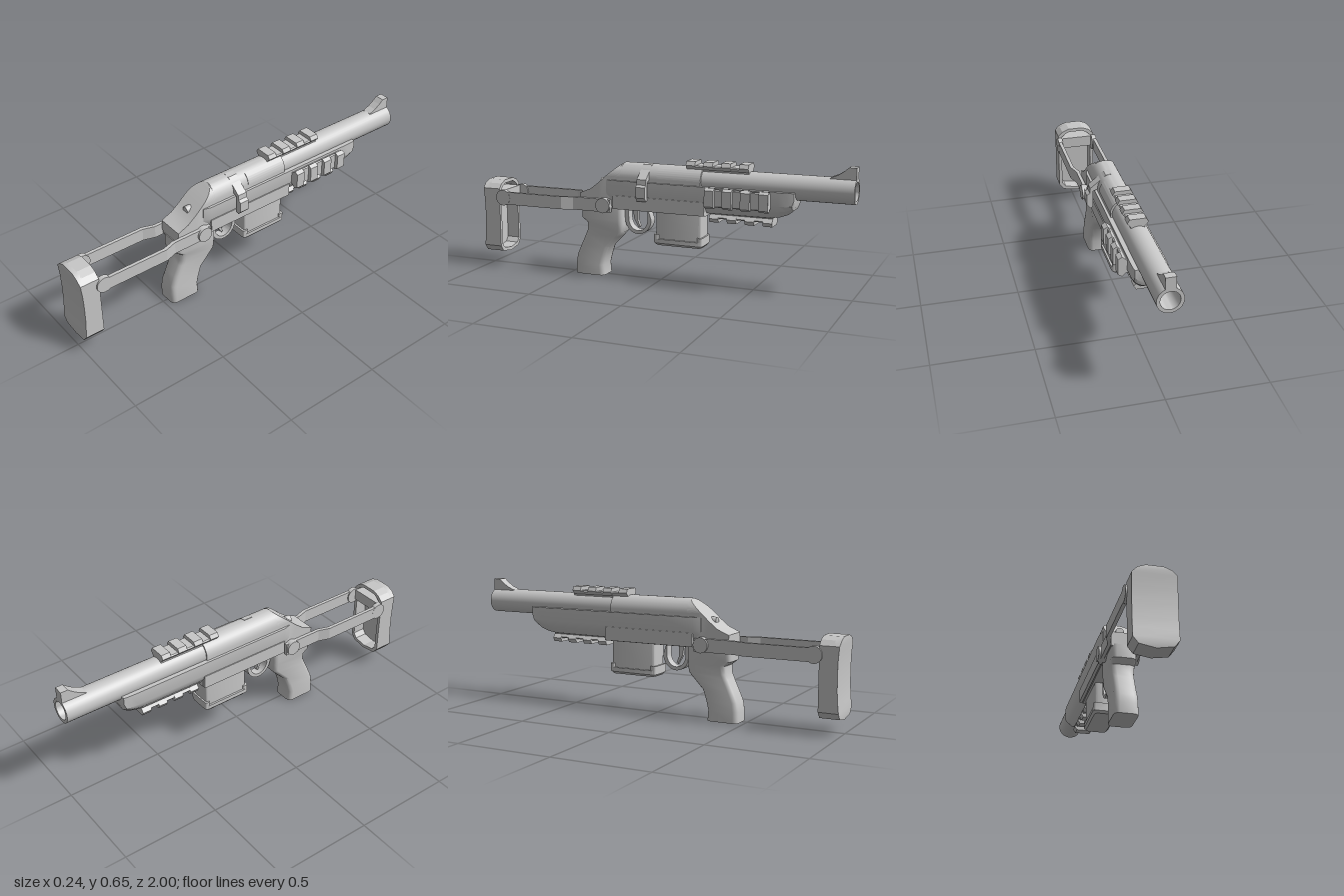
import * as THREE from 'three';
import { toCreasedNormals } from 'three/addons/utils/BufferGeometryUtils.js';

const CX = -0.008; // centre line of the body

// Skin a list of convex rings (arrays of [x, y, z]) and cap both ends
function loft(rings, crease = 0.6) {
  const n = rings[0].length, pos = [], idx = [];
  rings.forEach(r => r.forEach(p => pos.push(...p)));
  for (let i = 0; i < rings.length - 1; i++) {
    for (let j = 0; j < n; j++) {
      const a = i * n + j, b = i * n + (j + 1) % n;
      idx.push(a, b, a + n, b, b + n, a + n);
    }
  }
  const last = (rings.length - 1) * n;
  for (let j = 1; j < n - 1; j++) idx.push(0, j + 1, j, last, last + j, last + j + 1);
  // Turn the faces outward if the enclosed volume comes out negative
  let vol = 0;
  const v = i => new THREE.Vector3().fromArray(pos, i * 3);
  for (let i = 0; i < idx.length; i += 3) vol += v(idx[i]).dot(v(idx[i + 1]).cross(v(idx[i + 2])));
  if (vol < 0) idx.reverse();
  const g = new THREE.BufferGeometry();
  g.setAttribute('position', new THREE.Float32BufferAttribute(pos, 3));
  g.setIndex(idx);
  return toCreasedNormals(g, crease);
}

// Horizontal rounded rectangle at height y
function roundRing(y, z0, z1, halfX, r) {
  const ring = [], cz = (z0 + z1) / 2, hz = Math.abs(z1 - z0) / 2;
  for (let q = 0; q < 4; q++) {
    const sx = q === 0 || q === 3 ? 1 : -1, sz = q < 2 ? 1 : -1;
    for (let k = 0; k <= 3; k++) {
      const a = (q + k / 3) * Math.PI / 2;
      ring.push([CX + sx * (halfX - r) + r * Math.cos(a), y, cz + sz * (hz - r) + r * Math.sin(a)]);
    }
  }
  return ring;
}

// Ring at depth z from the right half of a section, mirrored to the left
const mirrorRing = (half, z) => [
  ...half.map(([x, y]) => [CX + x, y, z]),
  ...half.slice().reverse().map(([x, y]) => [CX - x, y, z])];

const toShape = pts => new THREE.Shape(pts.map(p => new THREE.Vector2(...p)));
const extrude = (shape, depth) => new THREE.ExtrudeGeometry(shape, { depth, bevelEnabled: false, curveSegments: 16 });
// Side profile of [z, y] points, spread from x0 to x1
const sidePlate = (pts, x0, x1) => extrude(toShape(pts), x1 - x0).rotateY(-Math.PI / 2).translate(x1, 0, 0);
// Front profile of [x, y] points, spread from z0 to z1
const frontPlate = (pts, z0, z1) => extrude(toShape(pts), z1 - z0).translate(0, 0, z0);
// Plan profile of [x, z] points, spread from y0 to y1
const planPlate = (pts, y0, y1) => extrude(toShape(pts), y1 - y0).rotateX(Math.PI / 2).translate(0, y1, 0);
const block = (x0, x1, y0, y1, z0, z1) => new THREE.BoxGeometry(x1 - x0, y1 - y0, z1 - z0)
  .translate((x0 + x1) / 2, (y0 + y1) / 2, (z0 + z1) / 2);

export function createModel() {
  const model = new THREE.Group();
  const grey = new THREE.MeshStandardMaterial({ color: 0xc8c8c8 });
  grey.name = 'grey';
  const add = (name, geometry, parent = model) => {
    const mesh = new THREE.Mesh(geometry, grey);
    mesh.name = name;
    parent.add(mesh);
  };

  // Barrel with an open bore
  const barrelProfile = [[0.063, 0], [0.063, 0.8], [0.046, 0.8], [0.046, 0.5], [0, 0.5]];
  const barrel = new THREE.LatheGeometry(barrelProfile.map(p => new THREE.Vector2(...p)), 32);
  add('barrel', toCreasedNormals(barrel, 0.6).rotateX(-Math.PI / 2).translate(CX, 0.535, -0.2));
  add('frontSight', sidePlate([[-0.874, 0.585], [-0.874, 0.597], [-0.91, 0.612], [-0.94, 0.632], [-0.963, 0.652],
    [-1, 0.652], [-1, 0.585]], CX - 0.025, CX + 0.025));

  // Domed receiver, cut by a slope at the rear
  const domeRing = (z, top) => {
    const half = [[0.07, 0.38]];
    const end = Math.asin(Math.min(1, Math.max(0, (top - 0.535) / 0.07)));
    for (let i = 0; i <= 10; i++) {
      const a = i / 10 * end;
      half.push([0.07 * Math.cos(a), Math.min(top, 0.535) + 0.07 * Math.sin(a)]);
    }
    return mirrorRing(half, z);
  };
  add('receiver', loft([[-0.235, 0.605], [0.2, 0.605], [0.206, 0.6], [0.218, 0.59], [0.232, 0.579], [0.25, 0.565],
    [0.268, 0.55], [0.286, 0.535], [0.325, 0.5], [0.37, 0.465], [0.43, 0.44]].map(s => domeRing(...s)), 0.5));
  add('lowerReceiver', block(CX - 0.065, CX + 0.065, 0.366, 0.42, -0.26, 0.43));

  // Bolt end, bolt cover and bolt handle
  add('boltEnd', new THREE.CylinderGeometry(0.02, 0.022, 0.05, 10).rotateX(Math.PI / 2).translate(CX, 0.497, 0.312));
  const cover = new THREE.Shape();
  cover.absarc(CX, 0.535, 0.073, 0.1, 1.0, false);
  cover.absarc(CX, 0.535, 0.06, 1.0, 0.1, true);
  add('boltCover', toCreasedNormals(extrude(cover, 0.235), 0.5).translate(0, 0, -0.235));
  add('boltHandle', frontPlate([[-0.01, 0.55], [-0.01, 0.607], [0.02, 0.603], [0.045, 0.58], [0.1, 0.537],
    [0.102, 0.51], [0.118, 0.5], [0.118, 0.445], [0.1, 0.425], [0.086, 0.43], [0.086, 0.52], [0.04, 0.54]],
  0.042, 0.092));

  // Long fore-end with a nose that sweeps up
  const foreRing = ([z, w, bottom]) => {
    const side = Math.max(0.45, bottom + 0.03);
    return mirrorRing([[w, 0.518], [w, side], [w * 0.85, (side + bottom) / 2], [w * 0.5, bottom]], z);
  };
  add('foreEnd', loft([[-0.715, 0.078, 0.45], [-0.705, 0.08, 0.425], [-0.68, 0.082, 0.405], [-0.64, 0.083, 0.39],
    [-0.59, 0.083, 0.382], [-0.27, 0.083, 0.38], [0.03, 0.083, 0.375], [0.24, 0.083, 0.375],
    [0.28, 0.072, 0.375]].map(foreRing), 0.45));
  for (const s of [-1, 1]) {
    const x = CX + s * 0.076;
    add('sideLedge', block(x - 0.008, x + 0.008, 0.37, 0.44, -0.26, 0.24));
  }

  // Accessory rails: a bar with four cross teeth
  const barProfile = [[-0.034, -0.02], [0.034, -0.02], [0.034, 0], [0.045, 0.014], [0.04, 0.02],
    [-0.04, 0.02], [-0.045, 0.014], [-0.034, 0]];
  const toothProfile = [[-0.034, -0.02], [0.034, -0.02], [0.034, 0], [0.052, 0.02], [0.04, 0.04],
    [-0.04, 0.04], [-0.052, 0.02], [-0.034, 0]];
  const addRail = (name, x, y, z, angle) => {
    const rail = new THREE.Group();
    rail.name = name;
    add('railBar', frontPlate(barProfile, -0.325, 0), rail);
    for (let i = 0; i < 4; i++) {
      const z1 = -i * 0.0925;
      add('railTooth', frontPlate(toothProfile, z1 - 0.048, z1), rail);
    }
    rail.position.set(x, y, z);
    rail.rotation.z = angle;
    model.add(rail);
  };
  addRail('topRail', CX, 0.596, -0.15, 0);
  addRail('sideRail', 0.079, 0.47, -0.275, -Math.PI / 2);
  addRail('bottomRail', CX, 0.376, -0.275, Math.PI);

  // Magazine with a lipped base
  add('magazine', loft([0.38, 0.2].map(y => roundRing(y, -0.235, 0.012, 0.054, 0.012))));
  add('magazineBase', loft([[0.195, 0.01], [0.207, 0], [0.228, 0]].map(([y, d]) =>
    roundRing(y, -0.243 + d, 0.022 - d, 0.064 - d, 0.02))));
  for (const [z0, z1] of [[-0.243, -0.215], [-0.008, 0.022]]) {
    add('magazineLip', loft([0.21, 0.25].map(y => roundRing(y, z0, z1, 0.062, 0.01))));
  }

  // Trigger and its guard
  const guard = new THREE.Shape();
  guard.moveTo(0.049, 0.375);
  guard.absellipse(0.122, 0.315, 0.073, 0.08, Math.PI, Math.PI * 2, false);
  guard.lineTo(0.195, 0.375);
  guard.lineTo(0.175, 0.375);
  guard.absellipse(0.122, 0.315, 0.053, 0.062, Math.PI * 2, Math.PI, true);
  guard.lineTo(0.069, 0.375);
  add('triggerGuard', toCreasedNormals(extrude(guard, 0.05), 0.6).rotateY(-Math.PI / 2).translate(CX + 0.025, 0, 0));
  add('trigger', sidePlate([[0.16, 0.375], [0.15, 0.31], [0.125, 0.265], [0.117, 0.272], [0.13, 0.305],
    [0.13, 0.375]], CX - 0.01, CX + 0.01));

  // Grip: rounded sections of [height, front z, rear z, half width]
  add('grip', loft([[0.375, 0.198, 0.434, 0.062], [0.305, 0.198, 0.434, 0.062], [0.282, 0.198, 0.405, 0.06],
    [0.24, 0.2, 0.406, 0.056], [0.214, 0.222, 0.417, 0.055], [0.155, 0.279, 0.444, 0.055], [0.1, 0.298, 0.467, 0.057],
    [0.055, 0.31, 0.473, 0.059], [0, 0.306, 0.473, 0.059]].map(([y, z0, z1, w]) => roundRing(y, z0, z1, w, 0.025)), 0.7));

  // Folding stock arms with pivots, mirrored about the centre line
  for (const s of [-1, 1]) {
    const arm = [[0.073, 0.25], [0.073, 0.47], [0.092, 0.53], [0.092, 0.89], [0.11, 0.89], [0.11, 0.525],
      [0.09, 0.465], [0.09, 0.25]].map(([x, z]) => [CX + s * x, z]);
    add('stockArm', planPlate(arm, 0.35, 0.417));
    const disc = (name, r, x0, x1, z) => add(name, toCreasedNormals(new THREE.CylinderGeometry(r, r, x1 - x0, 20), 0.6)
      .rotateZ(Math.PI / 2).translate(CX + s * (x0 + x1) / 2, 0.385, z));
    disc('pivot', 0.039, 0.06, 0.102, 0.29);
    disc('armEnd', 0.042, 0.086, 0.111, 0.875);
  }

  // Shoulder pad: a hollow tray open toward the muzzle
  const outline = k => [[0.103 - k, 0.43 - k * 0.5], [0.078 - k * 0.7, 0.455 - k * 0.9], [0.04, 0.47 - k],
    [-0.04, 0.47 - k], [-0.078 + k * 0.7, 0.455 - k * 0.9], [-0.103 + k, 0.43 - k * 0.5],
    [-0.103 + k, 0.115 + k * 0.5], [-0.078 + k * 0.7, 0.083 + k * 0.9], [0, 0.07 + k],
    [0.078 - k * 0.7, 0.083 + k * 0.9], [0.103 - k, 0.115 + k * 0.5]].map(([x, y]) => [CX + x, y]);
  const rim = toShape(outline(0));
  rim.holes.push(new THREE.Path(outline(0.018).map(p => new THREE.Vector2(...p))));
  add('padRim', extrude(rim, 0.075).translate(0, 0, 0.9));
  // Slightly hollowed rear face: sections of [height, half width, rear z]
  add('padBack', loft([[0.07, 0.002, 0.998], [0.083, 0.078, 1], [0.115, 0.103, 1], [0.16, 0.103, 0.995],
    [0.22, 0.103, 0.991], [0.3, 0.103, 0.99], [0.37, 0.103, 0.992], [0.43, 0.103, 0.997], [0.455, 0.078, 0.999],
    [0.47, 0.04, 0.998]].map(([y, w, z]) => [[CX - w, y, 0.97], [CX + w, y, 0.97], [CX + w, y, z], [CX - w, y, z]])));
  add('padBracket', block(CX - 0.092, CX + 0.092, 0.36, 0.42, 0.885, 0.975));

  return model;
}
